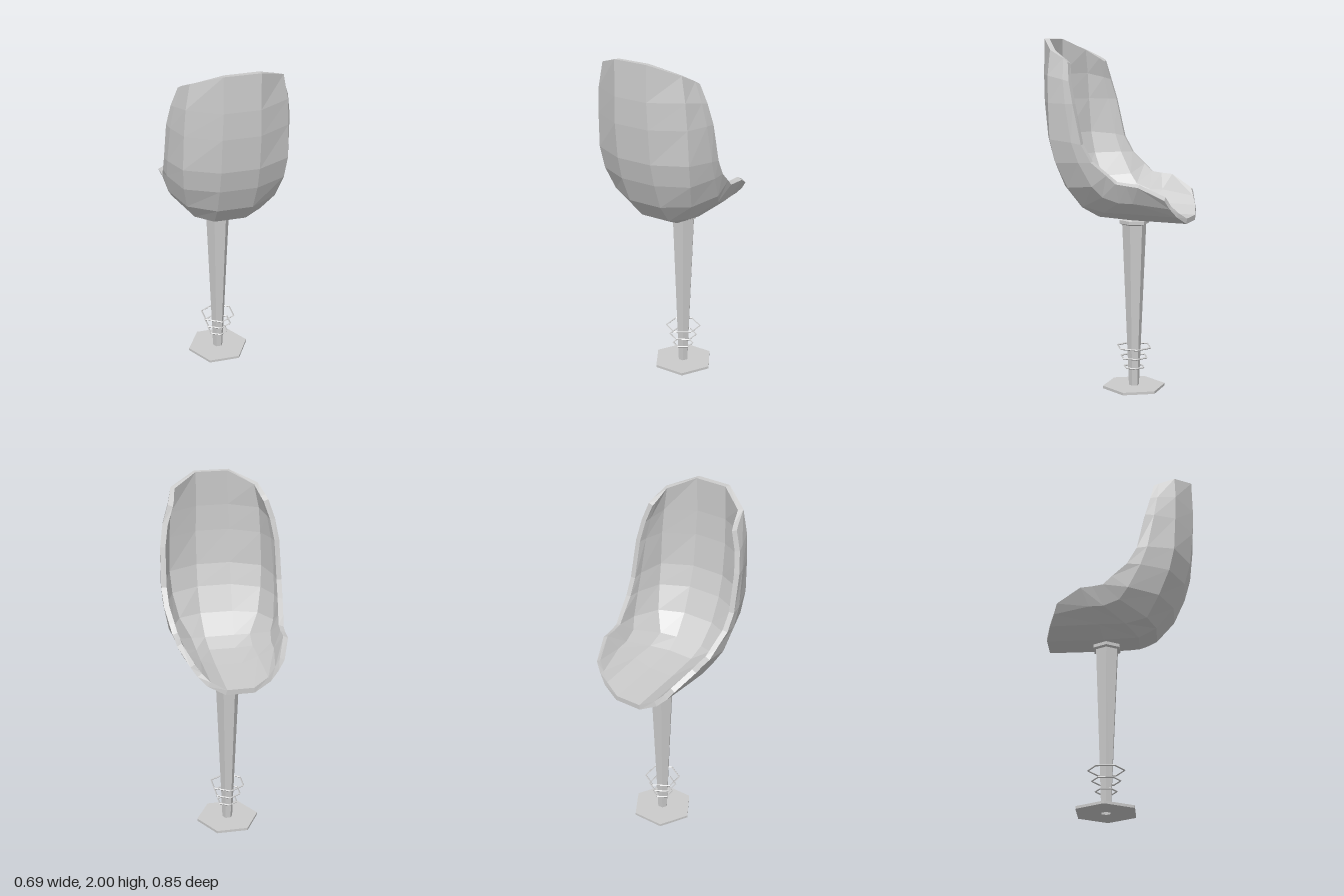
import * as THREE from 'three';

const mat = new THREE.MeshStandardMaterial({ color: 0xcccccc, flatShading: true });
const matDouble = new THREE.MeshStandardMaterial({ color: 0xcccccc, flatShading: true, side: THREE.DoubleSide });

// Half cross-sections of the shell from backrest top to seat lip: centre facet edge out to rim
const SECTIONS = [
  [[0.10, 2.00, 0.42], [0.25, 1.94, 0.32], [0.275, 1.895, 0.23], [0.285, 1.875, 0.20]],
  [[0.10, 1.80, 0.425], [0.275, 1.80, 0.325], [0.31, 1.78, 0.22], [0.32, 1.77, 0.18]],
  [[0.105, 1.65, 0.42], [0.285, 1.65, 0.32], [0.33, 1.65, 0.20], [0.34, 1.65, 0.15]],
  [[0.105, 1.45, 0.40], [0.29, 1.45, 0.31], [0.34, 1.44, 0.16], [0.345, 1.43, 0.10]],
  [[0.105, 1.32, 0.365], [0.28, 1.32, 0.28], [0.335, 1.33, 0.12], [0.34, 1.335, 0.045]],
  [[0.10, 1.17, 0.30], [0.25, 1.18, 0.22], [0.315, 1.20, 0.05], [0.325, 1.265, -0.04]],
  [[0.09, 1.05, 0.20], [0.19, 1.07, 0.15], [0.285, 1.14, 0.00], [0.315, 1.22, -0.09]],
  [[0.08, 1.00, 0.10], [0.18, 1.04, 0.03], [0.27, 1.11, -0.09], [0.31, 1.212, -0.15]],
  [[0.08, 0.99, -0.10], [0.18, 1.04, -0.12], [0.265, 1.11, -0.17], [0.31, 1.205, -0.217]],
  [[0.08, 0.987, -0.42], [0.175, 1.035, -0.395], [0.225, 1.085, -0.37], [0.26, 1.135, -0.35]],
];
const THICKNESS = 0.03;

function shellGeometry() {
  // Outer surface, mirrored across x
  const rows = SECTIONS.map((s) => [
    ...[...s].reverse(),
    ...s.map(([x, y, z]) => [-x, y, z]),
  ]);
  const n = rows[0].length;
  const index = [];
  for (let i = 0; i < rows.length - 1; i++) {
    for (let j = 0; j < n - 1; j++) {
      const a = i * n + j, b = a + 1, c = a + n, d = c + 1;
      index.push(a, b, d, a, d, c);
    }
  }
  const outer = new THREE.BufferGeometry();
  outer.setAttribute('position', new THREE.Float32BufferAttribute(rows.flat(2), 3));
  outer.setIndex(index);
  outer.computeVertexNormals();

  // Closed loops: outer surface one way, inset inner surface back again
  const pos = outer.attributes.position, nor = outer.attributes.normal;
  const verts = [], faces = [], loop = 2 * n;
  for (let i = 0; i < rows.length; i++) {
    for (let k = 0; k < loop; k++) {
      const v = i * n + (k < n ? k : loop - 1 - k);
      const p = new THREE.Vector3().fromBufferAttribute(pos, v);
      if (k >= n) p.addScaledVector(new THREE.Vector3().fromBufferAttribute(nor, v), -THICKNESS);
      verts.push(p.x, p.y, p.z);
    }
  }
  const quad = (a, b, c, d) => faces.push(a, b, c, a, c, d);
  for (let i = 0; i < rows.length - 1; i++) {
    for (let k = 0; k < loop; k++) {
      const k2 = (k + 1) % loop;
      quad(i * loop + k, i * loop + k2, (i + 1) * loop + k2, (i + 1) * loop + k);
    }
  }
  // Rim strips at the backrest top and the seat lip
  const last = (rows.length - 1) * loop;
  for (let k = 0; k < n - 1; k++) {
    const m = loop - 1 - k;
    quad(k, m, m - 1, k + 1);
    quad(last + k, last + k + 1, last + m - 1, last + m);
  }
  const g = new THREE.BufferGeometry();
  g.setAttribute('position', new THREE.Float32BufferAttribute(verts, 3));
  g.setIndex(faces);
  g.computeVertexNormals();
  return g;
}

function hexLathe(points) {
  const g = new THREE.LatheGeometry(points.map(([r, y]) => new THREE.Vector2(r, y)), 6);
  return g.rotateY(Math.PI / 2);
}

export function createModel() {
  const model = new THREE.Group();
  const add = (parent, name, geometry, material = mat) => {
    const mesh = new THREE.Mesh(geometry, material);
    mesh.name = name;
    parent.add(mesh);
    return mesh;
  };

  add(model, 'seatShell', shellGeometry());

  // Pedestal sits slightly forward of the shell's centre
  const pedestal = new THREE.Group();
  pedestal.name = 'pedestal';
  pedestal.position.set(0.005, 0, -0.085);
  model.add(pedestal);

  // Hollow tapered post
  add(pedestal, 'post', hexLathe([[0.029, 0], [0.07, 0.97]]), matDouble);
  add(pedestal, 'postCollar', hexLathe([[0.068, 0.955], [0.085, 0.963], [0.085, 0.982], [0.06, 0.992], [0, 0.992]]));
  // Foot plate with a hole under the post
  add(pedestal, 'footPlate', hexLathe([[0.028, 0], [0.182, 0], [0.182, 0.015], [0.028, 0.015]]));

  // Thin hexagonal rings round the lower post
  [[0.062, 0.122], [0.082, 0.182], [0.104, 0.242]].forEach(([r, y], i) => {
    const ring = add(pedestal, 'footRing' + (i + 1), new THREE.TorusGeometry(r - 0.003, 0.005, 4, 6));
    ring.rotation.set(Math.PI / 2, 0, Math.PI / 2);
    ring.position.y = y;
  });
  return model;
}
